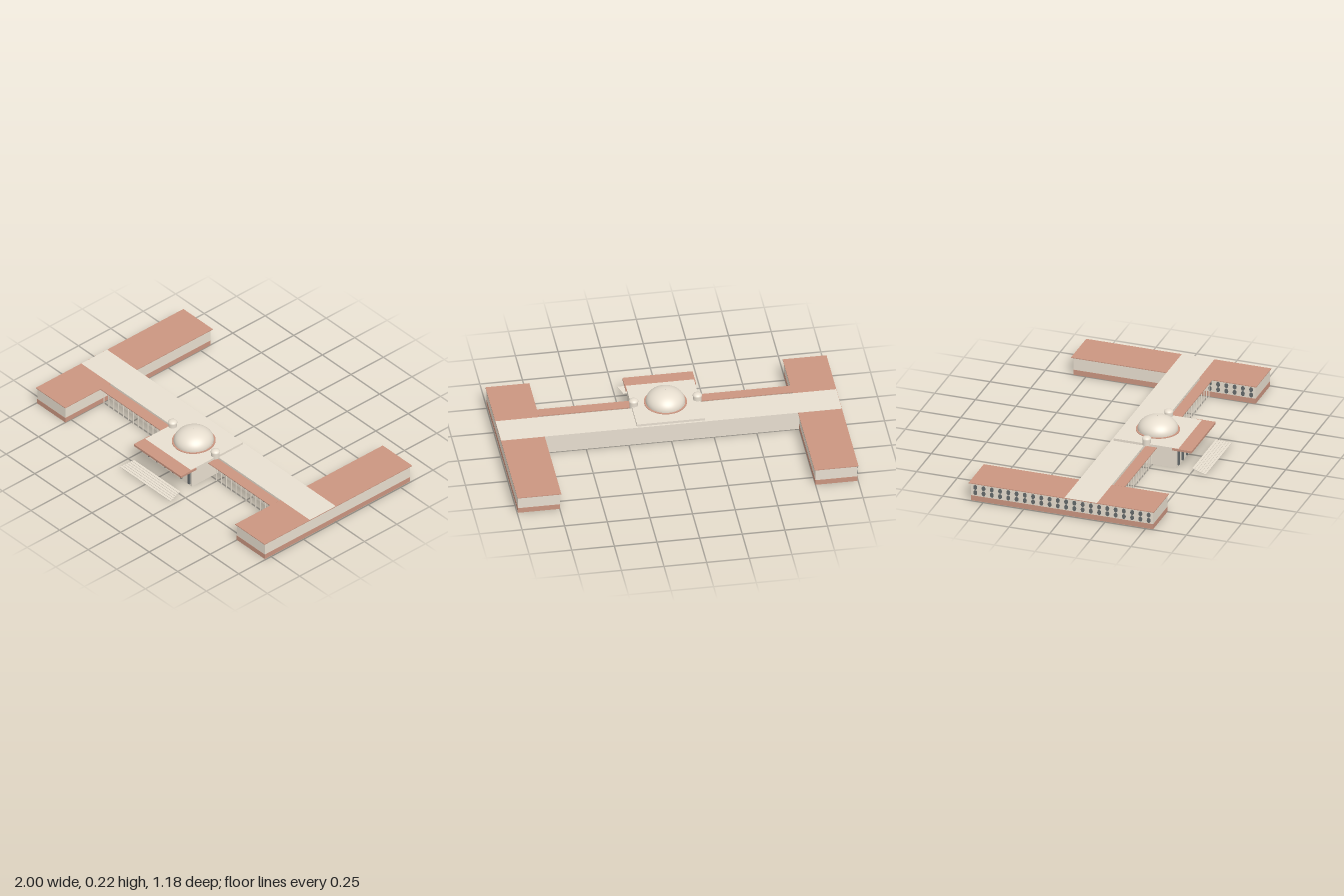
import * as THREE from 'three';

export function createModel() {
  const model = new THREE.Group();
  const mat = (name, color) => {
    const m = new THREE.MeshStandardMaterial({ color });
    m.name = name;
    return m;
  };
  const stone = mat('pale stone', 0xe8dfd0);
  const brick = mat('brick red', 0xca9580);
  const grey = mat('window grey', 0x64696a);

  const add = (name, geometry, material, parent = model) => {
    const mesh = new THREE.Mesh(geometry, material);
    mesh.name = name;
    parent.add(mesh);
    return mesh;
  };
  // Box given by its minimum and maximum on each axis
  const box = (name, material, x0, x1, y0, y1, z0, z1, parent = model) => {
    const g = new THREE.BoxGeometry(x1 - x0, y1 - y0, z1 - z0);
    g.translate((x0 + x1) / 2, (y0 + y1) / 2, (z0 + z1) / 2);
    return add(name, g, material, parent);
  };

  // Oval windows, one per storey, as thin raised plates
  const windowGeometry = (centres, rx, ry) => new THREE.ExtrudeGeometry(
    centres.map((y) => new THREE.Shape().absellipse(0, y, rx, ry, 0, Math.PI * 2)),
    { depth: 0.005, bevelEnabled: false, curveSegments: 5 });
  const frontWindow = windowGeometry([0.04, 0.081], 0.0105, 0.0195);
  const wingWindow = windowGeometry([0.054, 0.088], 0.0115, 0.0155);
  const postGeometry = new THREE.CylinderGeometry(0.0035, 0.0035, 0.1, 8);

  // Long main range joining the two wings
  box('mainRange', stone, -0.985, 0.985, 0, 0.112, 0, 0.2);
  box('mainRangeRoof', stone, -0.999, 0.999, 0.112, 0.1146, 0, 0.2);

  for (const side of [-1, 1]) {
    const sideName = side > 0 ? 'left' : 'right';
    const span = (a, b) => (side > 0 ? [a, b] : [-b, -a]);

    // Wing: brick plinth, stone walls and overhanging brick roof
    const wing = new THREE.Group();
    wing.name = sideName + 'Wing';
    model.add(wing);
    box('plinth', brick, ...span(0.749, 0.995), 0.001, 0.033, -0.577, 0.544, wing);
    box('walls', stone, ...span(0.75, 0.994), 0.033, 0.11, -0.576, 0.543, wing);
    box('wingRoof', brick, ...span(0.743, 1), 0.1095, 0.114, -0.589, 0.55, wing);

    // Windows: whole outer face of the right wing, front stub of the left wing
    const faceX = side > 0 ? 0.75 : -0.994;
    for (let i = side > 0 ? 16 : 0; i < 22; i++) {
      const w = add('wingWindow', wingWindow, grey, wing);
      w.rotation.y = -Math.PI / 2;
      w.position.set(faceX + 0.001, 0, -0.55 + i * 0.0508);
    }

    // Front windows, with slim posts carrying a thin verandah roof
    for (let i = 0; i < 12; i++) {
      const x = side * (0.257 + i * 0.0428);
      add('frontWindow', frontWindow, grey).position.set(x, 0, 0.199);
      add('verandahPost', postGeometry, stone).position.set(x, 0.06, 0.265);
    }
    box(sideName + 'VerandahRoof', brick, ...span(0.2, 0.745), 0.1095, 0.1145, 0.211, 0.279);

    // Small domed turret
    const turret = new THREE.Group();
    turret.name = sideName + 'Turret';
    turret.position.set(side * 0.187, 0, 0.212);
    model.add(turret);
    add('turretDrum', new THREE.CylinderGeometry(0.025, 0.025, 0.038, 24), stone, turret).position.y = 0.137;
    const cap = add('turretCap', new THREE.SphereGeometry(0.028, 24, 8, 0, Math.PI * 2, 0, Math.PI / 2), stone, turret);
    cap.scale.y = 0.6;
    cap.position.y = 0.155;
    const under = add('turretCapBase', new THREE.CircleGeometry(0.028, 24), stone, turret);
    under.rotation.x = Math.PI / 2;
    under.position.y = 0.155;
  }

  // Central pavilion with a brick porch roof
  box('pavilion', stone, -0.195, 0.195, 0, 0.116, 0.02, 0.4);
  box('pavilionRoof', stone, -0.2, 0.2, 0.114, 0.129, 0.012, 0.412);
  box('porchRoof', brick, -0.206, 0.206, 0.115, 0.1285, 0.375, 0.495);
  for (let i = 0; i < 6; i++) {
    const x = -0.174 + i * 0.0696;
    box('porchPier', grey, x - 0.006, x + 0.006, 0.012, 0.115, 0.399, 0.409);
  }

  // Shallow stone entrance steps, widening to the front
  const steps = new THREE.Group();
  steps.name = 'entranceSteps';
  model.add(steps);
  for (let i = 0; i < 6; i++) {
    const z = 0.497 + i * 0.0153;
    const y = 0.017 - i * 0.0026;
    const w = 0.202 + i * 0.0034;
    box('step', stone, -w, w, y - 0.0034, y, z, z + 0.0153, steps);
  }

  // Main dome with brick ring, low drum and finial
  const dome = new THREE.Group();
  dome.name = 'mainDome';
  dome.position.z = 0.214;
  dome.scale.x = 0.97;
  model.add(dome);
  add('domeRing', new THREE.CylinderGeometry(0.129, 0.129, 0.004, 48), brick, dome).position.y = 0.13;
  add('domeDrum', new THREE.CylinderGeometry(0.118, 0.118, 0.006, 48), stone, dome).position.y = 0.134;
  const shell = add('domeShell', new THREE.SphereGeometry(0.118, 48, 16, 0, Math.PI * 2, 0, Math.PI / 2), stone, dome);
  shell.scale.y = 0.66;
  shell.position.y = 0.136;
  add('finial', new THREE.CylinderGeometry(0.001, 0.002, 0.008, 8), stone, dome).position.y = 0.217;

  return model;
}
